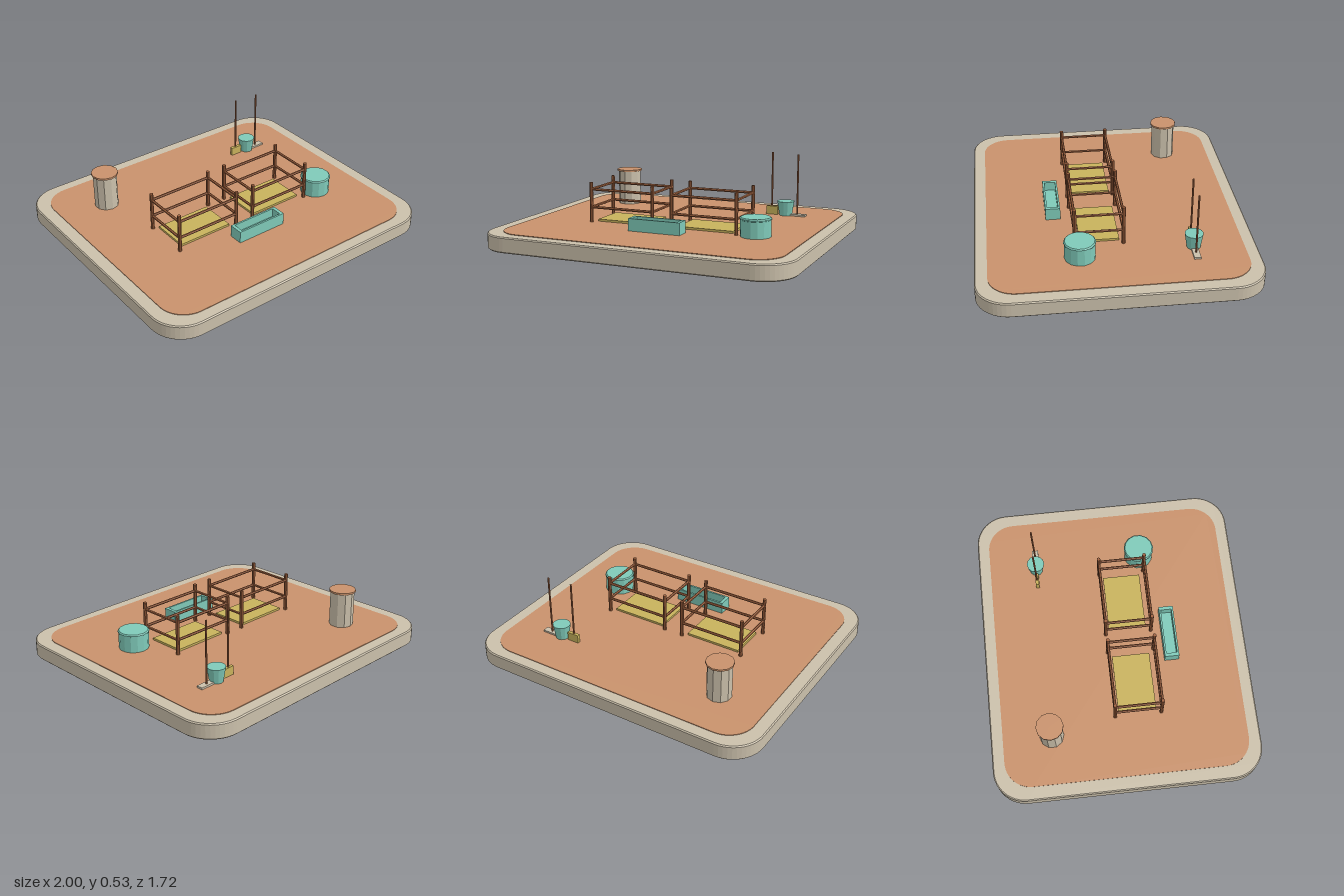
import * as THREE from 'three';

const mat = (name, color) => Object.assign(new THREE.MeshStandardMaterial({ color, flatShading: true }), { name });

// Rounded rectangle lying flat, from y0 to y1, with a small bevel inside its size
function slab(w, d, r, y0, y1, bevel) {
  const x = w / 2 - bevel, z = d / 2 - bevel, s = new THREE.Shape();
  const corners = [[x - r, -z + r, -1], [x - r, z - r, 0], [-x + r, z - r, 1], [-x + r, -z + r, 2]];
  for (const [cx, cz, q] of corners) s.absarc(cx, cz, r, q * Math.PI / 2, (q + 1) * Math.PI / 2, false);
  const g = new THREE.ExtrudeGeometry(s, {
    depth: y1 - y0 - 2 * bevel, curveSegments: 6, bevelEnabled: bevel > 0,
    bevelSize: bevel, bevelThickness: bevel, bevelSegments: 1,
  });
  return g.rotateX(-Math.PI / 2).translate(0, y0 + bevel, 0);
}

export function createModel() {
  const model = new THREE.Group();
  model.name = 'farmYard';
  const stone = mat('stone', 0xcbc0ab);
  const clay = mat('clay', 0xc9926c);
  const wood = mat('wood', 0xa0623f);
  const straw = mat('straw', 0xc8b25c);
  const teal = mat('teal', 0x7fcab9);

  const add = (parent, name, geometry, material, x = 0, y = 0, z = 0) => {
    const m = new THREE.Mesh(geometry, material);
    m.name = name;
    m.position.set(x, y, z);
    parent.add(m);
    return m;
  };
  const group = (name, x, y, z) => {
    const g = new THREE.Group();
    g.name = name;
    g.position.set(x, y, z);
    model.add(g);
    return g;
  };
  const box = (w, h, d) => new THREE.BoxGeometry(w, h, d);
  const cyl = (rt, rb, h, n) => new THREE.CylinderGeometry(rt, rb, h, n).translate(0, h / 2, 0);

  // Ground
  const top = 0.1;
  add(model, 'base', slab(2, 1.724, 0.2, 0, top, 0.007), stone);
  add(model, 'soil', slab(1.83, 1.57, 0.17, 0.09, 0.104, 0), clay);

  // Two fenced pens with straw bedding
  const hw = 0.217, hd = 0.15;
  for (const [name, x] of [['leftPen', 0.265], ['rightPen', -0.3]]) {
    const pen = group(name, x, top, 0.098);
    add(pen, 'bedding', box(0.37, 0.018, 0.246), straw, 0, 0.009, -0.004);
    for (const sx of [-1, 1]) for (const sz of [-1, 1])
      add(pen, 'post', cyl(0.012, 0.012, 0.264, 8), wood, sx * hw, 0, sz * hd);
    for (const y of [0.101, 0.218]) for (const s of [-1, 1]) {
      add(pen, 'longRail', cyl(0.009, 0.009, 2 * hw, 6), wood, hw, y, s * hd).rotation.z = Math.PI / 2;
      add(pen, 'sideRail', cyl(0.009, 0.009, 2 * hd, 6), wood, s * hw, y, -hd).rotation.x = Math.PI / 2;
    }
  }

  // Open feeding trough
  const trough = group('trough', 0, top, 0.36);
  add(trough, 'troughFloor', box(0.345, 0.02, 0.09), teal, 0, 0.014, 0);
  for (const s of [-1, 1]) {
    add(trough, 'troughEnd', box(0.022, 0.08, 0.094), teal, s * 0.163, 0.043, 0);
    add(trough, 'troughWall', box(0.348, 0.08, 0.012), teal, 0, 0.043, s * 0.041);
  }

  // Water tank with a chamfered top edge
  const tankProfile = [[0, 0], [0.095, 0], [0.095, 0.108], [0.099, 0.11], [0.099, 0.117], [0.092, 0.124], [0, 0.124]];
  add(model, 'waterTank', new THREE.LatheGeometry(tankProfile.map(p => new THREE.Vector2(...p)), 14), teal, 0.6, top, 0.228);

  // Feed silo
  const silo = group('silo', -0.602, top, -0.47);
  add(silo, 'siloBody', cyl(0.078, 0.078, 0.238, 10), stone);
  add(silo, 'siloLid', cyl(0.087, 0.087, 0.012, 12), clay, 0, 0.236, 0);

  // Bucket, brush and shovel
  const tools = group('tools', 0.567, top, -0.473);
  add(tools, 'bucket', cyl(0.058, 0.042, 0.1, 12), teal);
  add(tools, 'brushHead', box(0.08, 0.06, 0.022), straw, -0.094, 0.03, 0);
  add(tools, 'brushHandle', cyl(0.006, 0.006, 0.425, 6), wood, -0.097, 0, 0);
  add(tools, 'shovelBlade', box(0.1, 0.016, 0.042), stone, 0.087, 0.008, 0);
  add(tools, 'shovelHandle', cyl(0.006, 0.006, 0.417, 6), wood, 0.08, 0, 0);

  return model;
}
